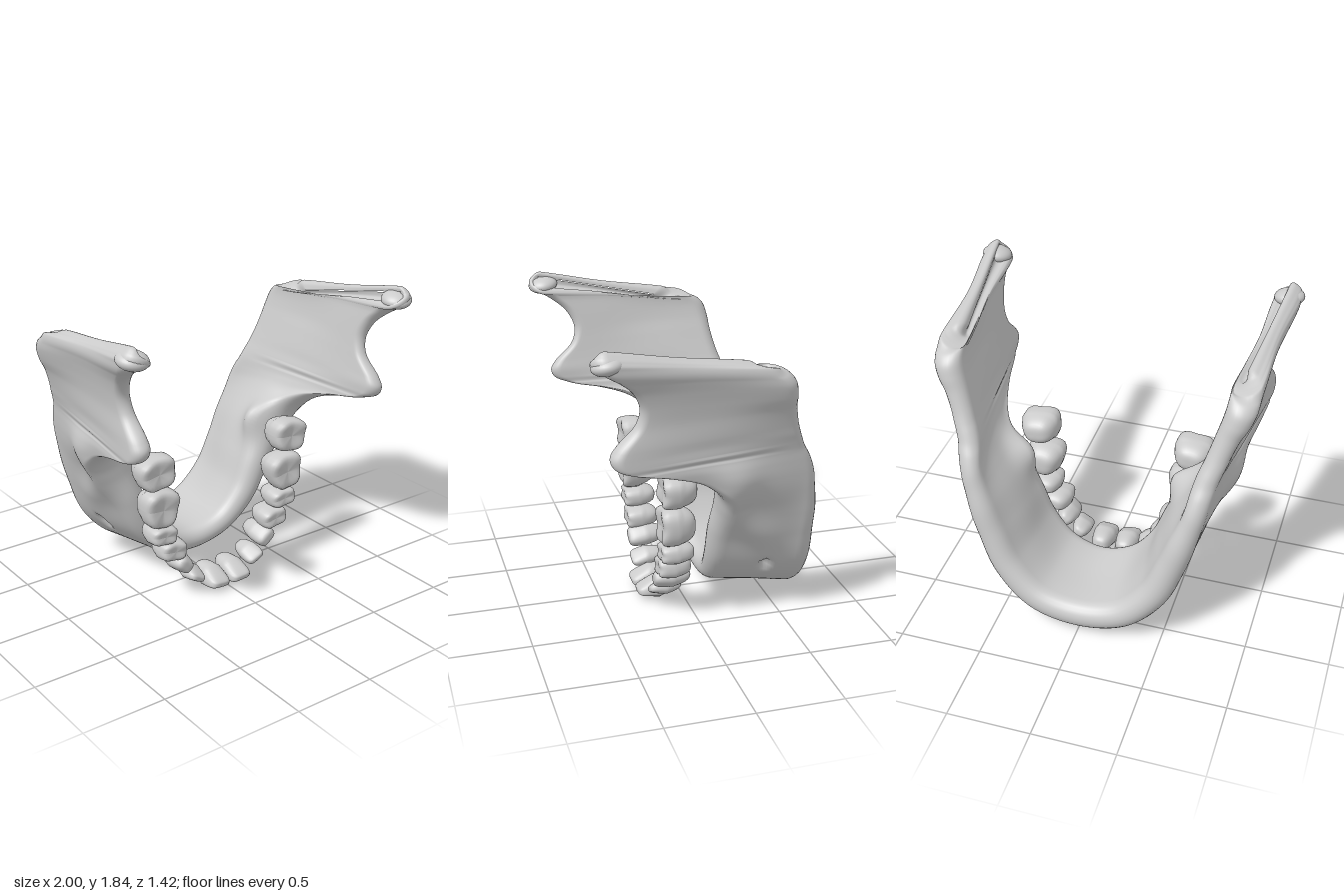
import * as THREE from 'three';

const material = new THREE.MeshStandardMaterial({ color: 0xcccccc });
const V = (p) => new THREE.Vector3(...p);

// Jaw bone stations from the chin midline up to the joint, for the left half.
// Front rail: gum edge, hooked process, notch, joint head.
const FRONT = [
  [0, 0.175, -0.10], [0.22, 0.24, -0.085], [0.375, 0.405, -0.06], [0.47, 0.61, -0.05],
  [0.56, 0.80, -0.06], [0.665, 0.935, -0.03], [0.74, 1.035, 0.10], [0.795, 1.10, 0.30],
  [0.825, 1.14, 0.49], [0.835, 1.18, 0.58], [0.835, 1.23, 0.60], [0.835, 1.285, 0.57],
  [0.83, 1.40, 0.462], [0.84, 1.50, 0.44], [0.86, 1.60, 0.485], [0.885, 1.675, 0.57],
  [0.905, 1.73, 0.66], [0.908, 1.765, 0.705], [0.908, 1.795, 0.705], [0.908, 1.812, 0.685],
  [0.908, 1.818, 0.65],
];
// Back rail: lower border, jaw angle, upper border.
const BACK = [
  [0, 0.125, -0.71], [0.27, 0.185, -0.705], [0.46, 0.375, -0.685], [0.555, 0.60, -0.665],
  [0.605, 0.76, -0.655], [0.64, 0.90, -0.63], [0.66, 1.00, -0.61], [0.675, 1.09, -0.575],
  [0.69, 1.16, -0.535], [0.71, 1.22, -0.51], [0.73, 1.27, -0.49], [0.75, 1.33, -0.47],
  [0.79, 1.44, -0.445], [0.825, 1.52, -0.435], [0.845, 1.59, -0.415], [0.848, 1.635, -0.375],
  [0.845, 1.655, -0.33], [0.84, 1.663, -0.29], [0.835, 1.668, -0.24], [0.83, 1.672, -0.18],
  [0.82, 1.678, -0.08],
];
// Thickness at the front edge, middle and back edge.
const THICK = [
  [0.14, 0.15, 0.18], [0.15, 0.16, 0.18], [0.17, 0.19, 0.18], [0.19, 0.21, 0.17],
  [0.20, 0.20, 0.16], [0.18, 0.18, 0.14], [0.15, 0.16, 0.13], [0.13, 0.14, 0.13],
  [0.12, 0.12, 0.13], [0.12, 0.12, 0.13], [0.12, 0.11, 0.13], [0.11, 0.11, 0.13],
  [0.09, 0.10, 0.14], [0.09, 0.10, 0.16], [0.10, 0.11, 0.17], [0.12, 0.12, 0.17],
  [0.155, 0.13, 0.17], [0.175, 0.13, 0.16], [0.15, 0.115, 0.14], [0.10, 0.08, 0.10],
  [0.004, 0.004, 0.004],
];

// Curve through a rail and its mirror image
function rail(points, mirrorX) {
  const other = points.slice(1).reverse().map(([x, y, z]) => V([mirrorX ? -x : x, y, z]));
  return new THREE.CatmullRomCurve3([...other, ...points.map(V)]);
}

// Surface relief, as a push outward from the side of the bone
const bell = (dy, dz, r) => Math.exp(-(dy * dy + dz * dz) / (r * r));
function relief(y, z, outer) {
  // inner swelling behind the last molar
  if (!outer) return -0.075 * bell(y - 0.88, z + 0.14, 0.10);
  // slanting outer ridge and the small nerve opening
  const alongRidge = THREE.MathUtils.smoothstep(y, 0.4, 0.75) * (1 - THREE.MathUtils.smoothstep(y, 0.95, 1.2));
  const ridge = 0.045 * alongRidge * bell(0, z + 0.10 + Math.max(0, 0.82 - y) * 0.8, 0.13);
  return ridge - 0.05 * bell(y - 0.33, z + 0.40, 0.035);
}

// Rounded cross-sections between the two rails, joined into one skin
function jawGeometry() {
  const front = rail(FRONT, true), back = rail(BACK, true), thick = rail(THICK, false);
  const rows = (FRONT.length - 1) * 2 * 8, END = 12, SIDE = 30, around = 2 * (END + SIDE);
  const mid = (t) => front.getPoint(t).add(back.getPoint(t));
  const pos = [], index = [];
  for (let i = 0; i <= rows; i++) {
    const t = i / rows;
    const F = front.getPoint(t), B = back.getPoint(t), th = thick.getPoint(t);
    const [rf, rm, rb] = th.toArray().map((d) => Math.max(d / 2, 0.001));
    const D = F.clone().sub(B).normalize();
    const T = mid(Math.min(1, t + 0.008)).sub(mid(Math.max(0, t - 0.008)));
    const N = T.cross(D).normalize();
    const cf = F.clone().addScaledVector(D, -rf), cb = B.clone().addScaledVector(D, rb);
    const put = (c, along, out) => {
      const p = c.clone().addScaledVector(D, along).addScaledVector(N, out);
      const share = Math.min(1, Math.abs(out) / Math.min(rf, rm, rb));
      p.addScaledVector(N, relief(p.y, p.z, out > 0) * share);
      pos.push(p.x, p.y, p.z);
    };
    const side = (k, sign) => {
      const s = k / SIDE;
      const r = THREE.MathUtils.lerp(rf, rb, s) + (rm - (rf + rb) / 2) * Math.sin(Math.PI * s) ** 2;
      put(cf.clone().lerp(cb, s), 0, sign * r);
    };
    for (let k = 0; k < END; k++) {
      const a = -Math.PI / 2 + (Math.PI * k) / END;
      put(cf, rf * Math.cos(a), rf * Math.sin(a));
    }
    for (let k = 0; k < SIDE; k++) side(k, 1);
    for (let k = 0; k < END; k++) {
      const a = Math.PI / 2 + (Math.PI * k) / END;
      put(cb, rb * Math.cos(a), rb * Math.sin(a));
    }
    for (let k = SIDE; k > 0; k--) side(k, -1);
  }
  for (let i = 0; i < rows; i++) {
    for (let j = 0; j < around; j++) {
      const a = i * around + j, b = i * around + ((j + 1) % around);
      index.push(a, b, a + around, b, b + around, a + around);
    }
  }
  const g = new THREE.BufferGeometry();
  g.setAttribute('position', new THREE.Float32BufferAttribute(pos, 3));
  g.setIndex(index);
  g.computeVertexNormals();
  return g;
}

// Tooth crown: squared-off ball, narrow at the root, with a biting edge or shallow cusps
function toothGeometry({ w, h, depth, chisel, cusp, wedge }) {
  const g = new THREE.SphereGeometry(1, 32, 24).rotateX(Math.PI / 2);
  const p = g.attributes.position;
  for (let i = 0; i < p.count; i++) {
    let x = p.getX(i), y = p.getY(i), z = p.getZ(i);
    const power = z > 0 ? 4.5 : 3.2;
    const k = (Math.abs(x) ** power + Math.abs(y) ** power + Math.abs(z) ** power) ** (-1 / power);
    x *= k; y *= k; z *= k;
    const top = Math.max(0, z), root = Math.max(0, -z);
    const groove = 1 - Math.min(1, 1.8 * Math.min(Math.abs(x), Math.abs(y)));
    const hollow = 1 - Math.min(1, x * x + y * y);
    const z2 = z - cusp * top * (groove * 0.4 + hollow);
    const round = 1 - 0.16 * x * x * y * y - 0.22 * root;
    p.setXYZ(i, x * round * (1 + wedge * y) * w / 2, y * round * (1 - chisel * top) * h / 2, z2 * depth / 2);
  }
  g.computeVertexNormals();
  return g;
}

// at: x, y, root z, crown z, width, height, turn
const TEETH = [
  { name: 'centralIncisor', at: [0.078, 0.074, 0.03, 0.28, 0.15, 0.135, 0.08], chisel: 0.6, cusp: 0, wedge: -0.1, tilt: 0.15 },
  { name: 'lateralIncisor', at: [0.222, 0.135, 0.04, 0.24, 0.125, 0.10, 0.5], chisel: 0.55, cusp: 0, wedge: 0, tilt: 0.12 },
  { name: 'canine', at: [0.31, 0.242, 0.01, 0.235, 0.135, 0.125, 0.75], chisel: 0.3, cusp: 0, wedge: 0, tilt: 0.08 },
  { name: 'firstPremolar', at: [0.38, 0.348, 0.03, 0.24, 0.18, 0.14, 0.15], chisel: 0.15, cusp: 0.12, wedge: 0, tilt: 0 },
  { name: 'secondPremolar', at: [0.447, 0.467, 0.03, 0.24, 0.18, 0.13, 0.1], chisel: 0.15, cusp: 0.12, wedge: 0, tilt: 0 },
  { name: 'firstMolar', at: [0.463, 0.643, 0.03, 0.25, 0.225, 0.235, 0.12], chisel: 0, cusp: 0.18, wedge: 0.16, tilt: 0 },
  { name: 'secondMolar', at: [0.488, 0.877, 0.03, 0.25, 0.235, 0.205, -0.12], chisel: 0, cusp: 0.18, wedge: 0.08, tilt: 0 },
];

export function createModel() {
  const model = new THREE.Group();
  model.name = 'lowerJaw';
  const add = (name, geometry, parent = model) => {
    const mesh = new THREE.Mesh(geometry, material);
    mesh.name = name;
    parent.add(mesh);
    return mesh;
  };

  add('jawBone', jawGeometry());

  const teeth = new THREE.Group();
  teeth.name = 'teeth';
  model.add(teeth);

  const ball = new THREE.SphereGeometry(1, 32, 20);
  for (const [side, s] of [['left', 1], ['right', -1]]) {
    // rounded joint head
    const head = add(side + 'JointHead', ball);
    head.position.set(s * 0.91, 1.768, 0.62);
    head.scale.set(0.09, 0.05, 0.09);
    head.rotation.set(0.15, 0, s * 0.1);

    for (const { name, at, tilt, ...shape } of TEETH) {
      const [x, y, z0, z1, w, h, turn] = at;
      const tooth = add(side + name[0].toUpperCase() + name.slice(1),
        toothGeometry({ w, h, depth: z1 - z0, ...shape }), teeth);
      tooth.position.set(s * x, y, (z0 + z1) / 2);
      tooth.rotation.set(tilt, 0, s * turn);
    }
  }
  return model;
}
